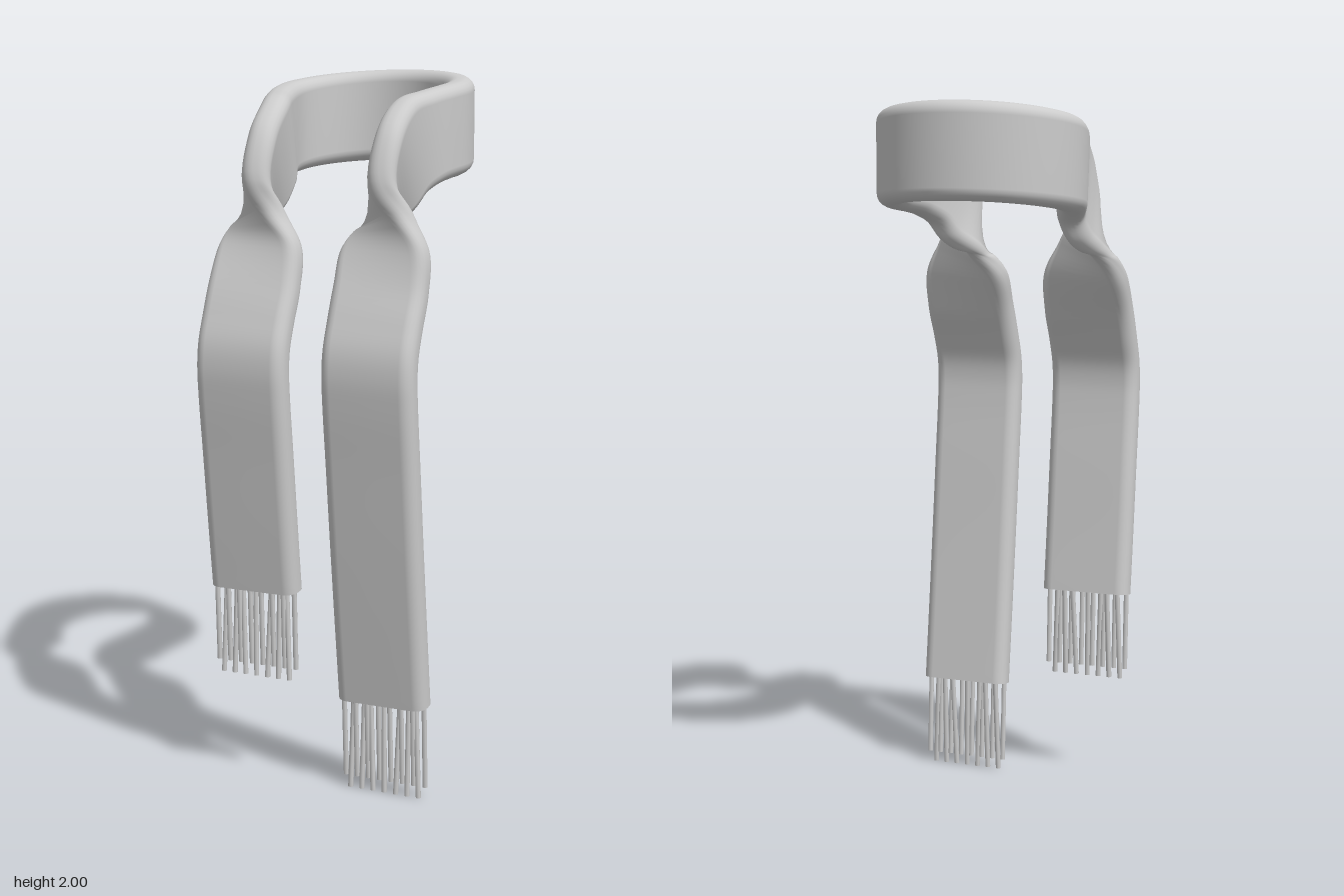
import * as THREE from 'three';

const V = (x, y, z) => new THREE.Vector3(x, y, z);
const material = new THREE.MeshStandardMaterial({ color: 0xcccccc, side: THREE.DoubleSide });

// Hanging end, top to bottom, as [y, z] of the centre line
const HANG = [[1.42, 0.272], [1.33, 0.312], [1.26, 0.338], [1.2, 0.345], [1.12, 0.34], [0.95, 0.32], [0.75, 0.297], [0.57, 0.275]];

// Twist between loop and hanging end: y and z of both band edges, from the loop downwards
const TWIST = [
  [1.942, 0.05, 1.69, 0.0],
  [1.92, 0.15, 1.665, 0.045],
  [1.84, 0.255, 1.62, 0.065],
  [1.71, 0.305, 1.59, 0.095],
  [1.62, 0.27, 1.565, 0.145],
  [1.53, 0.255, 1.515, 0.205],
];
const RIGHT_X = [[-0.225, -0.235], [-0.19, -0.215], [-0.175, -0.23], [-0.165, -0.26], [-0.12, -0.3], [-0.065, -0.32]];
const LEFT_X = [[0.215, 0.225], [0.195, 0.2], [0.195, 0.165], [0.205, 0.12], [0.26, 0.08], [0.31, 0.05]];

// Rows of [edge A, edge B] running from the loop down to the end of one side
function sideRows(xs, cx, dz, extra) {
  const rows = TWIST.map(([ay, az, by, bz], i) => [V(xs[i][0], ay, az), V(xs[i][1], by, bz)]);
  for (const [y, z] of [...HANG, ...extra]) {
    rows.push([V(cx + 0.133, y, z + dz), V(cx - 0.133, y, z + dz)]);
  }
  return rows;
}

// Rows of the loop round the neck, sloping down to the front
function loopRows() {
  const rows = [];
  for (let i = 0; i <= 14; i++) {
    const a = THREE.MathUtils.degToRad(-13 + (206 * i) / 14);
    const x = -0.008 - 0.249 * Math.cos(a), z = -0.104 - 0.249 * Math.sin(a);
    rows.push([V(x, 2 - 0.13 * (z + 0.38), z), V(x, 1.738 - 0.115 * (z + 0.38), z)]);
  }
  return rows;
}

// Rounded rectangle outline, as [side, across, corner offsets]
function profile(radius) {
  const pts = [];
  [[1, 1], [-1, 1], [-1, -1], [1, -1]].forEach(([su, sv], q) => {
    for (let k = 0; k <= 5; k++) {
      const a = ((q + k / 5) * Math.PI) / 2;
      pts.push({ su, sv, du: radius * (Math.cos(a) - su), dv: radius * (Math.sin(a) - sv) });
    }
  });
  return pts;
}

// Sweep the rounded outline between the two edge curves
function bandGeometry(rows, thickness, steps) {
  const curveA = new THREE.CatmullRomCurve3(rows.map((r) => r[0]), false, 'centripetal');
  const curveB = new THREE.CatmullRomCurve3(rows.map((r) => r[1]), false, 'centripetal');
  const outline = profile(0.034);
  const n = outline.length;
  const mid = (t) => curveA.getPoint(t).add(curveB.getPoint(t)).multiplyScalar(0.5);
  const pos = [], index = [];
  for (let i = 0; i <= steps; i++) {
    const t = i / steps;
    const c = mid(t);
    const T = mid(Math.min(1, t + 0.004)).sub(mid(Math.max(0, t - 0.004))).normalize();
    const W = curveA.getPoint(t).sub(curveB.getPoint(t));
    const half = W.length() / 2;
    W.normalize();
    const N = T.clone().cross(W).normalize();
    for (const p of outline) {
      const q = c.clone().addScaledVector(W, p.su * half + p.du).addScaledVector(N, (p.sv * thickness) / 2 + p.dv);
      pos.push(q.x, q.y, q.z);
    }
  }
  for (let i = 0; i < steps; i++) {
    for (let j = 0; j < n; j++) {
      const a = i * n + j, b = i * n + ((j + 1) % n);
      index.push(a, b, a + n, b, b + n, a + n);
    }
  }
  // Flat caps with their own vertices keep the end edges sharp
  for (const end of [0, steps]) {
    const base = pos.length / 3;
    pos.push(...pos.slice(end * n * 3, (end + 1) * n * 3));
    for (let j = 1; j < n - 1; j++) {
      if (end === 0) index.push(base, base + j + 1, base + j);
      else index.push(base, base + j, base + j + 1);
    }
  }
  const geo = new THREE.BufferGeometry();
  geo.setAttribute('position', new THREE.Float32BufferAttribute(pos, 3));
  geo.setIndex(index);
  geo.computeVertexNormals();
  return geo;
}

// One thread between two points
function thread(from, to) {
  const dir = to.clone().sub(from);
  const mesh = new THREE.Mesh(new THREE.CylinderGeometry(0.0075, 0.0075, dir.length(), 8), material);
  mesh.position.copy(from).add(to).multiplyScalar(0.5);
  mesh.quaternion.setFromUnitVectors(V(0, 1, 0), dir.normalize());
  mesh.name = 'fringeThread';
  return mesh;
}

// Two staggered rows of threads, the longer row leaning slightly
function fringe(name, cx, yTop, zTop, yEnd, zEnd) {
  const group = new THREE.Group();
  group.name = name;
  for (let i = 0; i < 15; i++) {
    const long = i % 2;
    const x = cx + (i - 7) * 0.0173;
    const lean = long ? 0.012 * Math.sin(i * 2.3) : 0;
    const dz = long ? -0.006 : 0.006;
    group.add(thread(V(x + lean, yTop + 0.03, zTop + dz), V(x, yEnd + (long ? 0 : 0.032), zEnd - dz * 0.6)));
  }
  return group;
}

export function createModel() {
  const model = new THREE.Group();
  model.name = 'scarf';

  // One continuous band: right end, loop, left end
  const right = sideRows(RIGHT_X, -0.187, 0.008, []).reverse();
  const left = sideRows(LEFT_X, 0.185, 0, [[0.42, 0.256], [0.272, 0.237]]);
  const band = new THREE.Mesh(bandGeometry([...right, ...loopRows(), ...left], 0.082, 260), material);
  band.name = 'scarfBand';
  model.add(band);

  model.add(fringe('rightFringe', -0.187, 0.57, 0.288, 0.31, 0.288));
  model.add(fringe('leftFringe', 0.185, 0.272, 0.237, 0.001, 0.233));
  return model;
}
